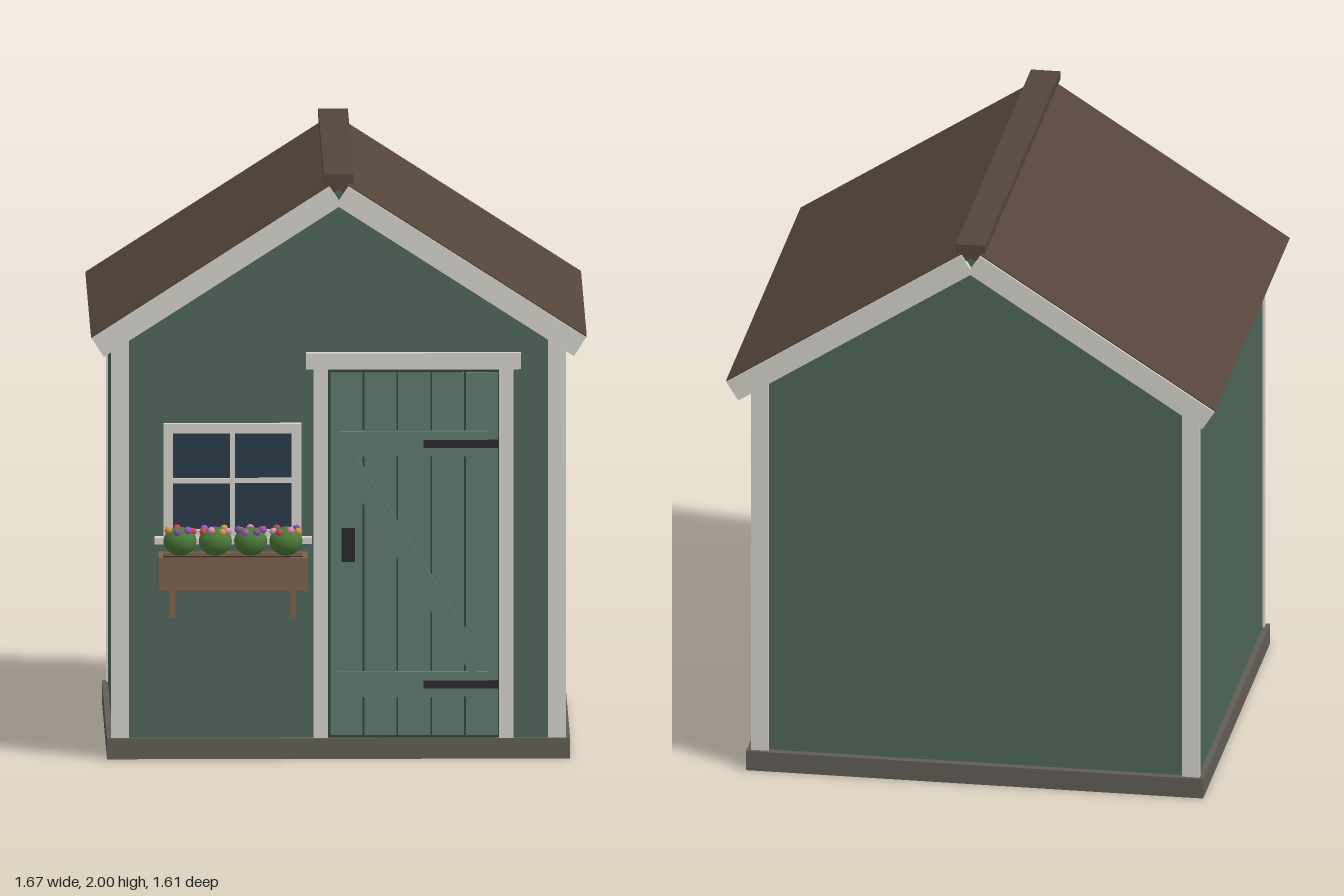
import * as THREE from 'three';

const COLORS = {
  wall: 0x4f665a, door: 0x5f7a6d, trim: 0xd6d3cc, roof: 0x55453a, base: 0x625d56,
  glass: 0x2b3a48, metal: 0x2a2a2e, wood: 0x80614a, soil: 0x33261c, leaf: 0x4a7a3a, groove: 0x34443c,
};
const material = (color) => new THREE.MeshStandardMaterial({ color });
const MATS = Object.fromEntries(Object.entries(COLORS).map(([k, c]) => [k, material(c)]));

function add(parent, name, geometry, mat) {
  const mesh = new THREE.Mesh(geometry, mat);
  mesh.name = name;
  parent.add(mesh);
  return mesh;
}

// Box given by its extents on each axis
function block(parent, name, mat, [x0, x1], [y0, y1], [z0, z1]) {
  const mesh = add(parent, name, new THREE.BoxGeometry(x1 - x0, y1 - y0, z1 - z0), mat);
  mesh.position.set((x0 + x1) / 2, (y0 + y1) / 2, (z0 + z1) / 2);
  return mesh;
}

function group(parent, name) {
  const g = new THREE.Group();
  g.name = name;
  parent.add(g);
  return g;
}

// Roof line: top surface falls from the ridge to the eaves
const EAVE_X = 0.835, EAVE_Y = 1.448, RIDGE_Y = 1.985;
const PITCH = Math.atan2(RIDGE_Y - EAVE_Y, EAVE_X);

// Sloping board that follows the roof; xTop is where its upper edge stops near the ridge
function slopeBoard(parent, name, mat, side, xTop, drop, thickness, z0, z1) {
  const c = Math.cos(PITCH), s = Math.sin(PITCH);
  const length = (EAVE_X - xTop) / c;
  const d = drop + thickness / 2;
  const mesh = add(parent, name, new THREE.BoxGeometry(length, thickness, z1 - z0), mat);
  mesh.position.set(side * (EAVE_X - c * length / 2 - s * d), EAVE_Y + s * length / 2 - c * d, (z0 + z1) / 2);
  mesh.rotation.z = -side * PITCH;
}

function buildShell(root) {
  block(root, 'base', MATS.base, [-0.78, 0.78], [0, 0.07], [-0.715, 0.683]);

  // Walls and both gables as one extruded pentagon
  const profile = new THREE.Shape([
    [-0.76, 0.07], [0.76, 0.07], [0.76, 1.47], [0, 1.955], [-0.76, 1.47],
  ].map(([x, y]) => new THREE.Vector2(x, y)));
  const walls = new THREE.ExtrudeGeometry(profile, { depth: 1.345, bevelEnabled: false });
  add(root, 'walls', walls, MATS.wall).position.z = -0.69;

  for (const s of [-1, 1]) {
    const xs = s > 0 ? [0.705, 0.766] : [-0.766, -0.705];
    block(root, 'frontCornerBoard', MATS.trim, xs, [0.07, 1.45], [0.645, 0.668]);
    block(root, 'backCornerBoard', MATS.trim, xs, [0.07, 1.45], [-0.702, -0.68]);
  }
}

function buildRoof(root) {
  const roof = group(root, 'roof');
  for (const s of [-1, 1]) {
    slopeBoard(roof, 'roofSlope', MATS.roof, s, 0.01, 0, 0.032, -0.795, 0.758);
    slopeBoard(roof, 'frontBargeboard', MATS.trim, s, 0.034, 0.004, 0.076, 0.75, 0.768);
    slopeBoard(roof, 'backBargeboard', MATS.trim, s, 0.034, 0.004, 0.076, -0.803, -0.785);
  }
  block(roof, 'ridgeCap', MATS.roof, [-0.05, 0.05], [1.97, 2], [-0.805, 0.765]);
}

function buildDoor(root) {
  const door = group(root, 'door');
  block(door, 'doorBacking', MATS.groove, [-0.035, 0.54], [0.07, 1.32], [0.645, 0.664]);
  const planks = 5, x0 = -0.03, pitch = 0.114;
  for (let i = 0; i < planks; i++) {
    const x = x0 + i * pitch;
    block(door, 'plank', MATS.door, [x + 0.003, x + pitch - 0.003], [0.08, 1.312], [0.655, 0.677]);
  }

  // Ledges, diagonal brace and strap hinges
  for (const y of [0.255, 1.073]) {
    block(door, 'ledge', MATS.door, [0, 0.505], [y - 0.042, y + 0.042], [0.67, 0.698]);
    block(door, 'hinge', MATS.metal, [0.285, 0.538], [y - 0.013, y + 0.013], [0.69, 0.707]);
  }
  const brace = block(door, 'brace', MATS.door, [0.217, 0.283], [0.24, 1.088], [0.67, 0.695]);
  brace.rotation.z = Math.atan2(0.45, 0.72);

  // Handle plate with a raised grip
  block(door, 'handlePlate', MATS.metal, [0.01, 0.055], [0.67, 0.785], [0.67, 0.685]);
  block(door, 'handleGrip', MATS.metal, [0.026, 0.039], [0.69, 0.765], [0.698, 0.708]);
  for (const y of [0.696, 0.759]) {
    block(door, 'handlePost', MATS.metal, [0.026, 0.039], [y - 0.006, y + 0.006], [0.68, 0.7]);
  }

  // Door frame
  block(door, 'doorJamb', MATS.trim, [-0.085, -0.035], [0.07, 1.325], [0.645, 0.68]);
  block(door, 'doorJamb', MATS.trim, [0.54, 0.59], [0.07, 1.325], [0.645, 0.68]);
  block(door, 'doorHeader', MATS.trim, [-0.11, 0.615], [1.325, 1.38], [0.645, 0.686]);
}

function buildWindow(root) {
  const win = group(root, 'window');
  const z = [0.645, 0.682];
  block(win, 'glass', MATS.glass, [-0.57, -0.145], [0.76, 1.12], [0.645, 0.662]);
  block(win, 'frameSide', MATS.trim, [-0.59, -0.557], [0.75, 1.14], z);
  block(win, 'frameSide', MATS.trim, [-0.158, -0.125], [0.75, 1.14], z);
  block(win, 'frameTop', MATS.trim, [-0.557, -0.158], [1.108, 1.14], z);
  block(win, 'frameBottom', MATS.trim, [-0.557, -0.158], [0.75, 0.78], z);
  block(win, 'uprightBar', MATS.trim, [-0.366, -0.349], [0.78, 1.108], [0.65, 0.674]);
  block(win, 'crossBar', MATS.trim, [-0.557, -0.158], [0.937, 0.954], [0.65, 0.673]);
  block(win, 'sill', MATS.trim, [-0.62, -0.09], [0.733, 0.755], [0.645, 0.7]);
}

function buildFlowerBox(root) {
  const planter = group(root, 'flowerBox');
  const y = [0.59, 0.702];
  block(planter, 'boxFront', MATS.wood, [-0.607, -0.105], y, [0.793, 0.808]);
  block(planter, 'boxBack', MATS.wood, [-0.607, -0.105], y, [0.655, 0.675]);
  block(planter, 'boxEnd', MATS.wood, [-0.607, -0.592], y, [0.675, 0.793]);
  block(planter, 'boxEnd', MATS.wood, [-0.12, -0.105], y, [0.675, 0.793]);
  block(planter, 'soil', MATS.soil, [-0.592, -0.12], [0.59, 0.69], [0.675, 0.793]);
  for (const x of [-0.56, -0.155]) {
    block(planter, 'bracket', MATS.wood, [x - 0.01, x + 0.01], [0.495, 0.59], [0.65, 0.773]);
  }

  // Bushes, each crowned with a ring of small blossoms
  const petals = [0xc94b4b, 0xd99a3a, 0xa05bc0, 0xe08fb0, 0x8a4f9e].map(material);
  const bush = new THREE.SphereGeometry(0.056, 16, 12);
  const blossom = new THREE.SphereGeometry(0.013, 8, 6);
  for (let i = 0; i < 4; i++) {
    const x = -0.535 + i * 0.119;
    const plant = add(planter, 'bush', bush, MATS.leaf);
    plant.scale.set(1, 0.87, 0.87);
    plant.position.set(x, 0.75, 0.742);
    for (let j = 0; j < 7; j++) {
      const a = (j / 7) * Math.PI * 2 + i;
      add(planter, 'blossom', blossom, petals[(i + j * 2) % petals.length])
        .position.set(x + Math.cos(a) * 0.043, 0.783 + 0.007 * (j % 2), 0.742 + Math.sin(a) * 0.033);
    }
  }
}

export function createModel() {
  const root = new THREE.Group();
  root.name = 'gardenShed';
  buildShell(root);
  buildRoof(root);
  buildDoor(root);
  buildWindow(root);
  buildFlowerBox(root);
  return root;
}
